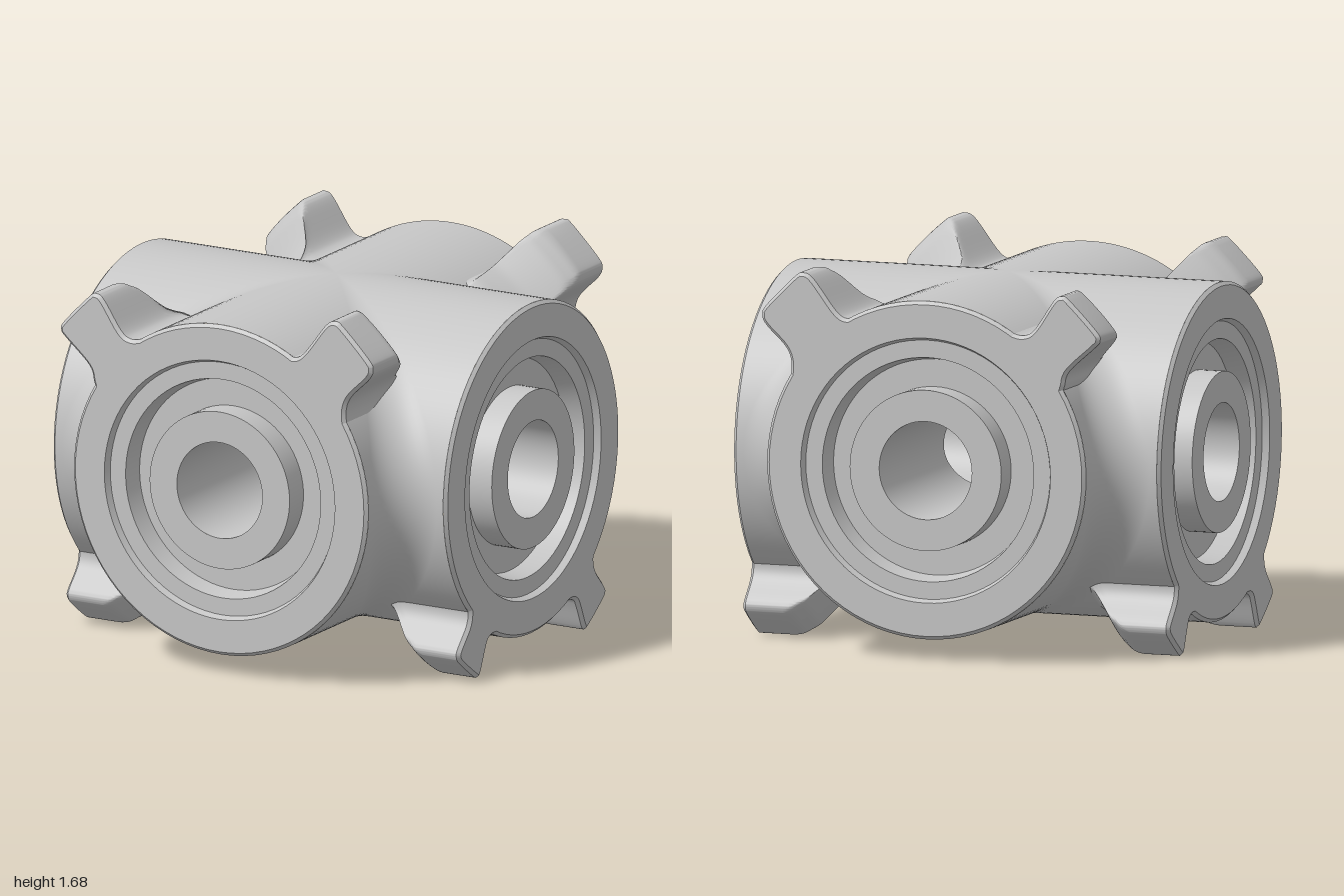
import * as THREE from 'three';
import { toCreasedNormals } from 'three/addons/utils/BufferGeometryUtils.js';

const AXIS_Y = 0.838; // height of the crossing axes
const R = 0.747;      // arm radius
const BORE = 0.217;

const grey = new THREE.MeshStandardMaterial({ color: 0xc6c6c6 });
grey.name = 'castGrey';

function part(geometry, name) {
  const mesh = new THREE.Mesh(geometry, grey);
  mesh.name = name;
  return mesh;
}

function gridIndex(rows, cols, flip) {
  const index = [];
  for (let i = 0; i < rows - 1; i++) {
    for (let j = 0; j < cols - 1; j++) {
      const a = i * cols + j, b = a + 1, c = a + cols, d = c + 1;
      if (flip) index.push(a, c, b, b, c, d);
      else index.push(a, b, c, b, d, c);
    }
  }
  return index;
}

// One quarter of two crossing cylinders, joined by a rolling-ball fillet.
function crossQuarter(radius, fillet, end, inward) {
  const rows = 65, steps = fillet ? 12 : 1;
  const pos = [], nor = [];
  const s = inward ? -1 : 1;
  for (let i = 0; i < rows; i++) {
    const a = -Math.PI / 2 + (Math.PI * i) / (rows - 1);
    const c = Math.cos(a), h = Math.sin(a);
    const n1 = new THREE.Vector3(c, h, 0), n2 = new THREE.Vector3(0, h, c);
    const ball = new THREE.Vector3(c, h, c).multiplyScalar(radius + fillet);
    if (!fillet) ball.set(radius * c, radius * h, radius * c);
    const add = (p, n) => {
      pos.push(p.x, p.y, p.z);
      nor.push(n.x * s, n.y * s, n.z * s);
    };
    add(new THREE.Vector3(radius * c, radius * h, end), n1);
    for (let k = 0; k <= steps; k++) {
      const n = n1.clone().lerp(n2, k / steps).normalize();
      add(ball.clone().addScaledVector(n, -fillet), n);
    }
    add(new THREE.Vector3(end, radius * h, radius * c), n2);
  }
  const g = new THREE.BufferGeometry();
  g.setAttribute('position', new THREE.Float32BufferAttribute(pos, 3));
  g.setAttribute('normal', new THREE.Float32BufferAttribute(nor, 3));
  g.setIndex(gridIndex(rows, steps + 3, inward));
  return g;
}

// Stepped end face: chamfered rim, shelf, trough and a hub flush with the rim.
function endFace() {
  const profile = [
    [R, 0.985], [R - 0.015, 1], [0.585, 1], [0.572, 0.97], [0.495, 0.97],
    [0.477, 0.88], [0.355, 0.88], [0.355, 1], [BORE, 1],
  ].map(([r, z]) => new THREE.Vector2(r, z));
  const g = new THREE.LatheGeometry(profile, 80);
  g.rotateX(Math.PI / 2);
  return toCreasedNormals(g, 0.35);
}

// How far a lug's tip has sunk (second value) at each distance along the arm.
const SINK = new THREE.SplineCurve([
  [0.82, 0], [0.77, 0.012], [0.72, 0.05], [0.68, 0.1], [0.64, 0.152],
  [0.6, 0.195], [0.55, 0.225], [0.49, 0.255], [0.44, 0.31],
].map(([z, s]) => new THREE.Vector2(z, s))).getPoints(32);

// Lug: its outline is swept back from the end face while its tip sinks into the arm.
function lug(points, mirror, name) {
  const curve = new THREE.SplineCurve(
    points.map(([x, y]) => new THREE.Vector2(mirror * x, y - AXIS_Y)));
  let outline = curve.getPoints(72);
  if (THREE.ShapeUtils.isClockWise(outline)) outline = outline.reverse();
  const cols = outline.length;
  const tip = Math.max(...outline.map((p) => p.length()));
  const inset = outline.map((p, i) => {
    const d = outline[Math.min(i + 1, cols - 1)].clone()
      .sub(outline[Math.max(i - 1, 0)]).normalize();
    return new THREE.Vector2(p.x - d.y * 0.015, p.y + d.x * 0.015);
  });
  const layers = [{ x: 1, y: 0 }, { x: 0.985, y: 0 }, ...SINK];
  const pos = [];
  layers.forEach(({ x: z, y: sink }, k) => {
    const limit = tip - sink;
    const soft = Math.min(0.06, Math.max(sink, 0) * 2 + 1e-6);
    (k ? outline : inset).forEach((p) => {
      // Smooth minimum, so the sloped back meets the sides in a round edge
      const r = p.length();
      const h = Math.max(soft - Math.abs(r - limit), 0) / soft;
      const f = (Math.min(r, limit) - (h * h * soft) / 4) / r;
      pos.push(p.x * f, p.y * f, z);
    });
  });
  const wall = new THREE.BufferGeometry();
  wall.setAttribute('position', new THREE.Float32BufferAttribute(pos, 3));
  wall.setIndex(gridIndex(layers.length, cols, true));
  const group = new THREE.Group();
  group.name = name;
  group.add(part(toCreasedNormals(wall, 0.75), 'lugWall'));
  const cap = new THREE.ShapeGeometry(new THREE.Shape(inset));
  cap.translate(0, 0, 1);
  group.add(part(cap, 'lugFace'));
  return group;
}

const UPPER_LEFT = [
  [-0.63, 1.19], [-0.645, 1.24], [-0.67, 1.31], [-0.79, 1.42], [-0.812, 1.45],
  [-0.797, 1.49], [-0.67, 1.62], [-0.635, 1.638], [-0.595, 1.615],
  [-0.51, 1.49], [-0.46, 1.457], [-0.40, 1.465], [-0.29, 1.505],
];
const UPPER_RIGHT = [
  [0.29, 1.505], [0.36, 1.488], [0.42, 1.515], [0.53, 1.655], [0.58, 1.68],
  [0.62, 1.66], [0.75, 1.53], [0.77, 1.485], [0.75, 1.44], [0.66, 1.35],
  [0.633, 1.28], [0.64, 1.2],
];
const LOWER = [
  [0.55, 0.36], [0.532, 0.31], [0.55, 0.25], [0.625, 0.165], [0.634, 0.13],
  [0.605, 0.095], [0.485, 0.01], [0.455, 0.003], [0.435, 0.03],
  [0.395, 0.12], [0.37, 0.155], [0.32, 0.163], [0.19, 0.14],
];

export function createModel() {
  const model = new THREE.Group();
  model.name = 'crossHousing';
  const housing = new THREE.Group();
  housing.name = 'housing';
  housing.position.y = AXIS_Y;
  model.add(housing);

  const shell = crossQuarter(R, 0.205, 0.985, false);
  const bore = crossQuarter(BORE, 0, 1, true);
  const face = endFace();

  // Four arms: front, left, back, right
  ['front', 'left', 'back', 'right'].forEach((side, k) => {
    const arm = new THREE.Group();
    arm.name = side + 'Arm';
    arm.rotation.y = (k * Math.PI) / 2;
    arm.add(part(shell, 'shellQuarter'), part(bore, 'boreQuarter'), part(face, 'endFace'));
    if (k % 2 === 0) {
      const m = k === 0 ? 1 : -1;
      arm.add(lug(UPPER_LEFT, m, 'upperLugA'), lug(UPPER_RIGHT, m, 'upperLugB'));
    } else {
      arm.add(lug(LOWER, 1, 'lowerLugA'), lug(LOWER, -1, 'lowerLugB'));
    }
    housing.add(arm);
  });
  return model;
}
